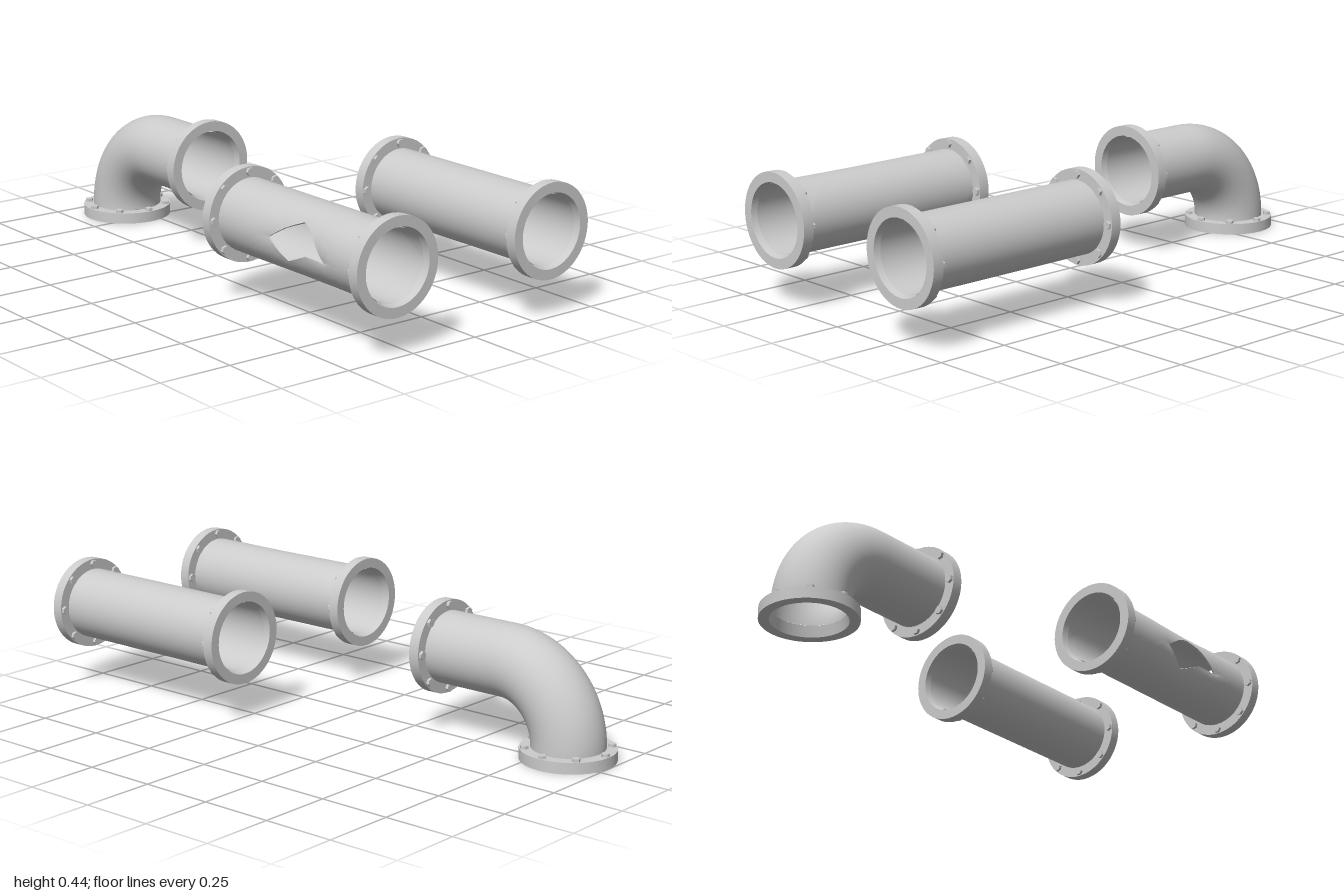
import * as THREE from 'three';
import { toCreasedNormals } from 'three/addons/utils/BufferGeometryUtils.js';

const AXIS_Y = 0.283, OUT = 0.122, BORE = 0.117, FLANGE_R = 0.158, FLANGE_T = 0.038;
const X0 = 0.23, X1 = 1; // ends of the straight pipes
const mat = new THREE.MeshStandardMaterial({ color: 0xcccccc });
const thin = new THREE.MeshStandardMaterial({ color: 0xcccccc, side: THREE.DoubleSide });

function add(parent, name, geo, material = mat) {
  const mesh = new THREE.Mesh(geo, material);
  mesh.name = name;
  parent.add(mesh);
  return mesh;
}

// Bolted ring: open face at y = 0, pipe side towards +y
function makeFlange(name, x, y, z, rotZ) {
  const g = new THREE.Group();
  g.name = name;
  const profile = [[BORE, FLANGE_T], [0.124, 0], [FLANGE_R, 0], [FLANGE_R, FLANGE_T], [BORE, FLANGE_T]]
    .map(p => new THREE.Vector2(...p));
  add(g, 'flangeRing', toCreasedNormals(new THREE.LatheGeometry(profile, 64), 0.5));
  for (let i = 0; i < 8; i++) {
    const a = i * Math.PI / 4;
    const bolt = add(g, 'bolt', toCreasedNormals(new THREE.CylinderGeometry(0.014, 0.014, 0.014, 6), 0.5));
    bolt.position.set(0.142 * Math.cos(a), FLANGE_T + 0.003, 0.142 * Math.sin(a));
    bolt.rotation.y = -a;
  }
  g.position.set(x, y, z);
  g.rotation.z = rotZ;
  return g;
}

// Outer and inner walls of a straight run along x
function addRun(parent, x0, x1, z) {
  for (const [name, r] of [['pipeWall', OUT], ['pipeBore', BORE]]) {
    const geo = new THREE.CylinderGeometry(r, r, x1 - x0, 64, 1, true).rotateZ(Math.PI / 2);
    add(parent, name, geo, thin).position.set((x0 + x1) / 2, AXIS_Y, z);
  }
}

function straightPipe(name, z) {
  const g = new THREE.Group();
  g.name = name;
  g.add(makeFlange('rightFlange', X0, AXIS_Y, z, -Math.PI / 2));
  g.add(makeFlange('leftFlange', X1, AXIS_Y, z, Math.PI / 2));
  return g;
}

// Walls unrolled as (x, angle) loops that shrink from the pipe ends to a torn hole
function tornWall(z) {
  const hole = [[0.52, 0.287], [0.59, 0.332], [0.665, 0.365], [0.715, 0.345],
    [0.79, 0.263], [0.70, 0.263], [0.60, 0.22], [0.56, 0.252]]
    .map(([x, y]) => [x, Math.asin((y - AXIS_Y) / OUT)]);
  const a = X0 + 0.02, b = X1 - 0.02, m = 0.65, P = Math.PI;
  const rim = [[a, 0], [a, P], [m, P], [b, P], [b, 0], [b, -P], [m, -P], [a, -P]];
  const SUB = 16, N = 8 * SUB, M = 24;
  const along = (pts, i) => {
    const k = Math.floor(i / SUB) % 8, t = (i % SUB) / SUB, p = pts[k], q = pts[(k + 1) % 8];
    return [p[0] + (q[0] - p[0]) * t, p[1] + (q[1] - p[1]) * t];
  };
  const pos = [], idx = [];
  for (let j = 0; j <= 2 * M + 1; j++) {
    const inner = j > M;
    const t = (inner ? 2 * M + 1 - j : j) / M; // 0 at the ends, 1 at the hole
    const r = (inner ? BORE : OUT) - 0.007 * Math.pow(t, 6); // slight dent
    for (let i = 0; i <= N; i++) {
      const o = along(rim, i), h = along(hole, i);
      const x = o[0] + (h[0] - o[0]) * t, th = o[1] + (h[1] - o[1]) * t;
      pos.push(x, AXIS_Y + r * Math.sin(th), z + r * Math.cos(th));
      if (j && i) {
        const d = j * (N + 1) + i, c = d - 1, f = d - N - 1, e = f - 1;
        idx.push(e, f, d, e, d, c);
      }
    }
  }
  const geo = new THREE.BufferGeometry();
  geo.setAttribute('position', new THREE.Float32BufferAttribute(pos, 3));
  geo.setIndex(idx);
  return toCreasedNormals(geo, 0.6);
}

function elbowPipe() {
  const g = new THREE.Group();
  g.name = 'elbowPipe';
  const z = 0.047, bend = 0.242, x = -1 + FLANGE_R, y = AXIS_Y - bend, end = -0.313;
  // quarter bend from the floor flange to the level run
  for (const [name, r] of [['bendWall', OUT], ['bendBore', BORE]]) {
    const geo = new THREE.TorusGeometry(bend, r, 64, 32, Math.PI / 2).rotateZ(Math.PI / 2);
    add(g, name, geo, thin).position.set(x + bend, y, z);
  }
  addRun(g, x + bend, end - 0.02, z);
  g.add(makeFlange('floorFlange', x, 0, z, 0));
  g.add(makeFlange('sideFlange', end, AXIS_Y, z, Math.PI / 2));
  return g;
}

export function createModel() {
  const model = new THREE.Group();
  model.name = 'pipeSet';

  const whole = straightPipe('straightPipe', -0.315);
  addRun(whole, X0 + 0.02, X1 - 0.02, -0.315);

  const broken = straightPipe('brokenPipe', 0.315);
  add(broken, 'tornWall', tornWall(0.315), thin);

  model.add(whole, broken, elbowPipe());
  return model;
}
